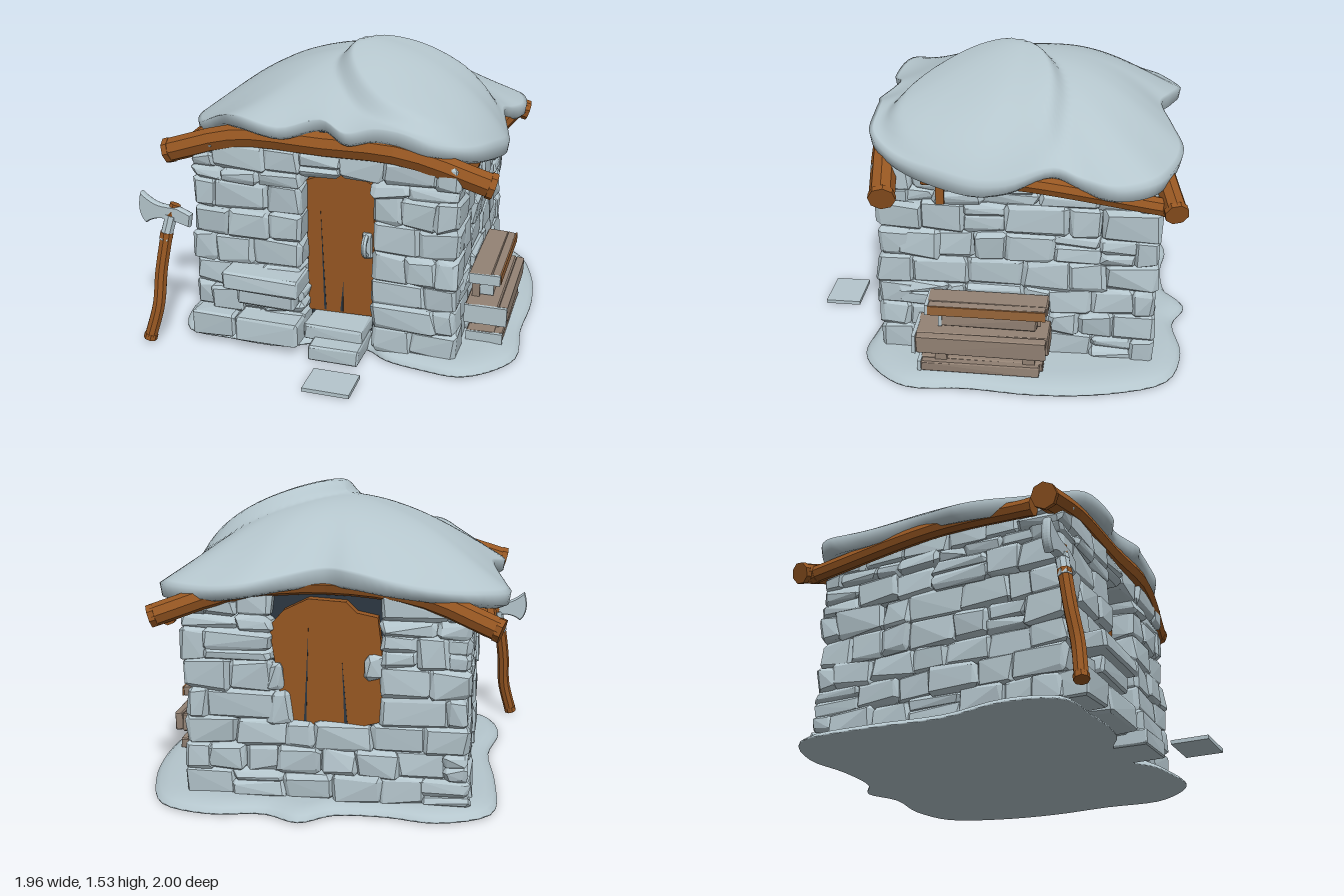
import * as THREE from 'three';
import { mergeGeometries } from 'three/addons/utils/BufferGeometryUtils.js';
import { ConvexGeometry } from 'three/addons/geometries/ConvexGeometry.js';

const V = (x, y, z) => new THREE.Vector3(x, y, z);

export function createModel() {
  const root = new THREE.Group();
  const mat = (name, color, extra = {}) =>
    Object.assign(new THREE.MeshStandardMaterial({ color, ...extra }), { name });
  const stone = mat('stone', 0xb5c6cd, { flatShading: true });
  const snow = mat('snow', 0xb5c6cd);
  const wood = mat('brownWood', 0x975722, { flatShading: true });
  const grey = mat('weatheredWood', 0x938274, { flatShading: true });
  const warm = mat('seatWood', 0x98653a, { flatShading: true });
  const dark = mat('mortar', 0x2c3742, { flatShading: true });

  let seed = 11;
  const rnd = () => ((seed = (seed * 16807) % 2147483647) / 2147483647);
  const jit = (a) => (rnd() - 0.5) * 2 * a;

  const add = (name, geo, material, parent = root) => {
    const m = new THREE.Mesh(geo, material);
    m.name = name;
    parent.add(m);
    return m;
  };

  // Chipped block spanning two corners: a bevelled, jittered convex hull
  const block = (x0, x1, y0, y1, z0, z1, j = 0.01, bevel = 0.02) => {
    const c = [(x0 + x1) / 2, (y0 + y1) / 2, (z0 + z1) / 2];
    const h = [(x1 - x0) / 2, (y1 - y0) / 2, (z1 - z0) / 2];
    const pts = [];
    for (const sx of [-1, 1]) for (const sy of [-1, 1]) for (const sz of [-1, 1]) {
      const s = [sx, sy, sz], o = [jit(j), jit(j), jit(j)];
      for (let k = 0; k < 3; k++) {
        const p = s.map((v, i) => c[i] + o[i] + v * (h[i] - (i === k ? 0 : bevel * (0.5 + rnd()))));
        pts.push(V(...p));
      }
    }
    return new ConvexGeometry(pts);
  };
  const box = (x0, x1, y0, y1, z0, z1) =>
    new THREE.BoxGeometry(x1 - x0, y1 - y0, z1 - z0).translate((x0 + x1) / 2, (y0 + y1) / 2, (z0 + z1) / 2);

  // Surface through closed loops, from the top centre outwards and down
  const loft = (loops) => {
    const N = loops[0].length, idx = [];
    for (let i = 0; i < loops.length - 1; i++) for (let j = 0; j < N; j++) {
      const a = i * N + j, b = i * N + ((j + 1) % N);
      idx.push(a, b, a + N, b, b + N, a + N);
    }
    const g = new THREE.BufferGeometry();
    g.setAttribute('position', new THREE.Float32BufferAttribute(loops.flat(2), 3));
    g.setIndex(idx);
    g.computeVertexNormals();
    return g;
  };
  const closed = (pts, n) =>
    new THREE.CatmullRomCurve3(pts.map((p) => V(...p)), true).getPoints(n).slice(0, -1);

  // Stone courses, with optional opening [from, to, bottom, top]
  const rows = [0.035, 0.17, 0.3, 0.43, 0.58, 0.73, 0.88, 0.95, 1.08];
  const X0 = -0.69, X1 = 0.69, Z0 = -0.81, Z1 = 0.58, D = 0.12;
  const wall = (name, a, b, parity, hole, place) => {
    const geos = [];
    for (let r = 0; r < rows.length - 1; r++) {
      const y0 = rows[r], y1 = rows[r + 1], mid = (y0 + y1) / 2;
      const inset = r % 2 === parity ? 0 : D - 0.015;
      let runs = [[a + inset, b - inset]];
      if (hole && mid > hole[2] && mid < hole[3]) runs = [[a + inset, hole[0]], [hole[1], b - inset]];
      for (const [s, e] of runs) {
        const n = Math.max(1, Math.round((e - s) / (0.18 + rnd() * 0.05)));
        const cuts = [s];
        for (let i = 1; i < n; i++) cuts.push(s + ((i + jit(0.25)) * (e - s)) / n);
        cuts.push(e);
        for (let i = 0; i < n; i++) {
          const u0 = cuts[i] - 0.005, u1 = cuts[i + 1] + 0.005, out = jit(0.013);
          // some stones are split into two thinner ones
          if (rnd() < 0.18 && y1 - y0 > 0.12) {
            const ym = mid + jit(0.02);
            geos.push(place(u0, u1, y0 - 0.005, ym + 0.005, out), place(u0, u1, ym - 0.005, y1 + 0.005, out));
          } else geos.push(place(u0, u1, y0 - 0.005, y1 + 0.005, out));
        }
      }
    }
    add(name, mergeGeometries(geos), stone);
  };
  wall('frontWall', X0, X1, 0, [-0.115, 0.265, 0, 0.94], (a, b, y, t, o) => block(a, b, y, t, Z1 - 0.18, Z1 + o));
  wall('backWall', X0, X1, 0, [-0.27, 0.26, 0.42, 1.1], (a, b, y, t, o) => block(a, b, y, t, Z0 + o, Z0 + D));
  wall('leftWall', Z0, Z1, 1, null, (a, b, y, t, o) => block(X1 - D, X1 + o, y, t, a, b));
  wall('rightWall', Z0, Z1, 1, null, (a, b, y, t, o) => block(X0 + o, X0 + D, y, t, a, b));
  add('mortarCore', box(X0 + 0.06, X1 - 0.06, 0.03, 1.1, Z0 + 0.075, Z1 - 0.17), dark);

  // Snowy ground, sloping to nothing at its rim
  const ground = closed([[-0.8, 0, -0.78], [-0.55, 0, -0.91], [-0.3, 0, -0.88], [-0.05, 0, -0.9], [0.1, 0, -1],
    [0.28, 0, -0.93], [0.55, 0, -0.965], [0.8, 0, -0.885], [0.93, 0, -0.6], [0.98, 0, -0.25], [0.965, 0, 0.1],
    [0.98, 0, 0.4], [0.87, 0, 0.57], [0.73, 0, 0.66], [0.55, 0, 0.65], [0.35, 0, 0.61], [0.22, 0, 0.53],
    [-0.02, 0, 0.53], [-0.2, 0, 0.62], [-0.5, 0, 0.62], [-0.75, 0, 0.59], [-0.835, 0, 0.35], [-0.78, 0, 0],
    [-0.82, 0, -0.4]], 96);
  add('snowyGround', loft([[0.001, 0.05], [0.86, 0.05], [0.93, 0.042], [0.975, 0.028], [1, 0.008], [1, 0], [0.001, 0]]
    .map(([r, y]) => ground.map((p) => [p.x * r, y, -0.1 + (p.z + 0.1) * r]))), snow);

  // Doorstep, loose slab and stone ledge beside the door
  add('lowerStep', block(-0.04, 0.23, 0.0, 0.085, 0.45, 0.715, 0.004, 0.008), stone);
  add('upperStep', block(-0.09, 0.22, 0.06, 0.15, 0.4, 0.62, 0.004, 0.012), stone);
  add('looseSlab', box(0.03, 0.27, 0, 0.02, 0.81, 1), stone);
  [[-0.5, -0.1, 0.325, 0.425, 0.705], [-0.44, -0.13, 0.23, 0.325, 0.66], [-0.68, -0.45, 0.04, 0.17, 0.69],
    [-0.44, -0.1, 0.04, 0.17, 0.69], [-0.6, -0.42, 0.17, 0.3, 0.62]].forEach(([a, b, y, t, z]) =>
    add('ledgeStone', block(a, b, y, t, 0.5, z, 0.008, 0.012), stone));

  // Recessed arched door and rear hatch, each with split-open cracks
  const panel = (name, outline, z0, z1) => {
    const s = new THREE.Shape(outline.map((p) => new THREE.Vector2(...p)));
    add(name, new THREE.ExtrudeGeometry(s, { depth: z1 - z0, bevelEnabled: false }).translate(0, 0, z0), wood);
  };
  panel('door', [[-0.115, 0.15], [0.235, 0.155], [0.24, 0.88], [0.2, 0.905], [0.12, 0.93], [0.04, 0.93],
    [-0.05, 0.91], [-0.12, 0.88]], 0.38, 0.45);
  panel('hatch', [[-0.28, 0.45], [-0.1, 0.4], [0.2, 0.42], [0.27, 0.9], [0.2, 0.98], [0.08, 1.04], [-0.1, 1.03],
    [-0.15, 0.98], [-0.25, 0.96], [-0.27, 0.8]], -0.785, -0.72);
  const crack = (x0, y0, x1, y1, w, z) => {
    const s = new THREE.Shape([[x0 - w, y0], [x0 + w, y0], [x1, y1]].map((p) => new THREE.Vector2(...p)));
    add('crack', new THREE.ExtrudeGeometry(s, { depth: 0.004, bevelEnabled: false }).translate(0, 0, z), dark);
  };
  [[-0.025, 0.16, -0.045, 0.72, 0.006], [0.065, 0.16, 0.075, 0.34, 0.008]].forEach((c) => crack(...c, 0.448));
  [[-0.1, 0.41, -0.08, 0.75, 0.008], [0.1, 0.43, 0.08, 0.9, 0.006]].forEach((c) => crack(...c, -0.787));
  add('handlePlate', block(0.18, 0.23, 0.49, 0.63, 0.44, 0.465, 0.002, 0.008), stone);
  add('doorHandle', new THREE.TorusGeometry(0.05, 0.015, 6, 12, Math.PI)
    .rotateZ(-Math.PI / 2).rotateY(-Math.PI / 2).translate(0.2, 0.56, 0.455), stone);
  // Stones jutting over the hatch edges
  [[0.16, 0.28, 0.42, 0.58], [0.2, 0.28, 0.58, 0.72], [-0.28, -0.19, 0.66, 0.78]].forEach(([a, b, y, t]) =>
    add('hatchStone', block(a, b, y, t, Z0, Z0 + D), stone));

  // Log along a curve, with flat ends
  const log = (name, pts, r, material = wood, parent = root) => {
    const curve = new THREE.CatmullRomCurve3(pts.map((p) => V(...p)));
    const g = [new THREE.TubeGeometry(curve, 14, r, 8)];
    for (const t of [0, 1]) {
      const dir = curve.getTangent(t).multiplyScalar(t ? 1 : -1), p = curve.getPoint(t);
      g.push(new THREE.CylinderGeometry(r * 1.06, r * 1.06, 0.03, 8)
        .applyQuaternion(new THREE.Quaternion().setFromUnitVectors(V(0, 1, 0), dir)).translate(p.x, p.y, p.z));
    }
    return add(name, mergeGeometries(g), material, parent);
  };
  log('frontBeam', [[-0.825, 1.005, 0.55], [-0.45, 1.11, 0.53], [0, 1.11, 0.54], [0.42, 1.105, 0.56], [0.83, 0.97, 0.505]], 0.063);
  log('backBeam', [[-0.81, 0.945, -0.87], [-0.45, 1.07, -0.79], [0, 1.11, -0.75], [0.45, 1.07, -0.79], [0.81, 0.955, -0.87]], 0.055);
  log('rightBeam', [[-0.73, 1.03, 0.43], [-0.73, 1.05, -0.1], [-0.755, 0.95, -0.83]], 0.045);
  log('leftBeam', [[0.7, 1.03, 0.32], [0.735, 1.04, -0.1], [0.75, 0.95, -0.83]], 0.045);
  add('beamBracket', box(0.66, 0.72, 0.89, 1.02, 0.23, 0.27), wood);

  // Snow roof over a lobed rim (x, rim height, z)
  const rim = closed([[0, 1.15, -0.81], [0.2, 1.13, -0.86], [0.4, 1.1, -0.91], [0.6, 1.07, -0.87], [0.79, 1.05, -0.77],
    [0.845, 1.04, -0.6], [0.8, 1.07, -0.44], [0.765, 1.11, -0.3], [0.82, 1.04, -0.08], [0.845, 1.03, 0.08],
    [0.81, 1.05, 0.25], [0.75, 1.08, 0.41], [0.67, 1.12, 0.53], [0.55, 1.16, 0.62], [0.4, 1.2, 0.625],
    [0.28, 1.21, 0.63], [0.15, 1.19, 0.655], [0, 1.23, 0.58], [-0.2, 1.19, 0.65], [-0.44, 1.21, 0.6],
    [-0.58, 1.17, 0.47], [-0.75, 1.08, 0.34], [-0.835, 1.06, 0.1], [-0.775, 1.11, -0.2], [-0.84, 1.06, -0.5],
    [-0.85, 1.05, -0.7], [-0.7, 1.08, -0.83], [-0.35, 1.13, -0.925], [-0.14, 1.15, -0.87]], 145);
  // A second drift thickens the snow over the front left quarter
  const drift = (x, z) => {
    const dx = (x - 0.42) / 0.49, dz = (z - 0.1) / (0.42 + 0.1 * x);
    const d = Math.hypot(dx, dz) + 0.04 * Math.sin(3 * Math.atan2(dz, dx));
    return 0.075 * (1 - THREE.MathUtils.smoothstep(d, 0.8, 1.0));
  };
  const snowLoops = [];
  for (let i = 0; i <= 24; i++) {
    const r = Math.max(0.001, Math.sin((i / 24) * Math.PI / 2) * 0.5 + (i / 24) * 0.5);
    snowLoops.push(rim.map((p) => {
      // loops round off towards the peak
      const a = Math.atan2(p.z + 0.1, p.x), k = r * r;
      const x = r * THREE.MathUtils.lerp(0.85 * Math.cos(a), p.x, k);
      const z = -0.1 + r * THREE.MathUtils.lerp(0.78 * Math.sin(a), p.z + 0.1, k);
      const e = THREE.MathUtils.lerp(1.12, p.y + 0.02, k);
      const pow = 1.6 + Math.max(0, -Math.sin(a)) ** 2 * (1 - 0.5 * k);
      const ripple = 0.015 * Math.sin(7 * x + 2) * Math.sin(6 * z) * r;
      return [x, e + (1.455 - e) * (1 - r ** pow) + ripple + drift(x, z) * (1 - r ** 8), z];
    }));
  }
  for (const [r, dy] of [[0.99, -0.03], [0.95, -0.05], [0.86, -0.01], [0.6, 0.06], [0.001, 0.12]])
    snowLoops.push(rim.map((p) => [p.x * r, (r < 0.7 ? 1.1 : p.y) + dy, -0.1 + (p.z + 0.1) * r]));
  add('snowRoof', loft(snowLoops), snow);

  // Plank bench with frosted ends and a bare seat edge
  const bench = new THREE.Group();
  bench.name = 'bench';
  root.add(bench);
  [[0.71, 0.87, 0.355, 0.41, -0.29, 0.31], [0.73, 0.83, 0.27, 0.34, -0.25, 0.25],
    [0.7, 0.92, 0.16, 0.26, -0.3, 0.37], [0.71, 0.9, 0.045, 0.1, -0.27, 0.35]]
    .forEach(([a, b, y, t, z0, z1]) => {
      add('benchPlank', block(a, b - 0.045, y, t, z0, z1, 0.003, 0.006), grey, bench);
      add('benchPlank', block(b - 0.046, b, y, t, z0 + 0.015, z1 - 0.01, 0.003, 0.006), grey, bench);
      add('frostedEnd', box(a, b, y, t, z1 - 0.012, z1 + 0.006), stone, bench);
    });
  add('seatEdge', box(0.866, 0.874, 0.358, 0.407, -0.28, 0.3), warm, bench);
  for (const z of [-0.2, 0.24]) for (const x of [0.74, 0.85])
    add('benchLeg', box(x - 0.02, x + 0.02, 0.04, x < 0.8 ? 0.36 : 0.2, z - 0.03, z + 0.03), grey, bench);

  // Axe leaning beside the corner
  const axe = new THREE.Group();
  axe.name = 'axe';
  root.add(axe);
  log('axeHandle', [[-0.905, 0.02, 0.745], [-0.86, 0.2, 0.715], [-0.85, 0.38, 0.68], [-0.825, 0.57, 0.645]], 0.034, wood, axe);
  log('axeCollar', [[-0.828, 0.56, 0.646], [-0.805, 0.66, 0.625]], 0.033, stone, axe);
  log('axeHandleTop', [[-0.805, 0.66, 0.625], [-0.785, 0.72, 0.612]], 0.028, wood, axe);
  const blade = new THREE.Shape();
  blade.moveTo(-0.96, 0.785);
  blade.quadraticCurveTo(-0.9, 0.73, -0.84, 0.725);
  blade.lineTo(-0.76, 0.72);
  blade.lineTo(-0.69, 0.69);
  blade.lineTo(-0.7, 0.63);
  blade.lineTo(-0.77, 0.65);
  blade.quadraticCurveTo(-0.88, 0.68, -0.94, 0.63);
  blade.quadraticCurveTo(-0.99, 0.68, -0.96, 0.785);
  add('axeHead', new THREE.ExtrudeGeometry(blade, {
    depth: 0.02, bevelThickness: 0.012, bevelSize: 0.006, bevelSegments: 1,
  }).translate(0, 0, 0.612), stone, axe);

  return root;
}
